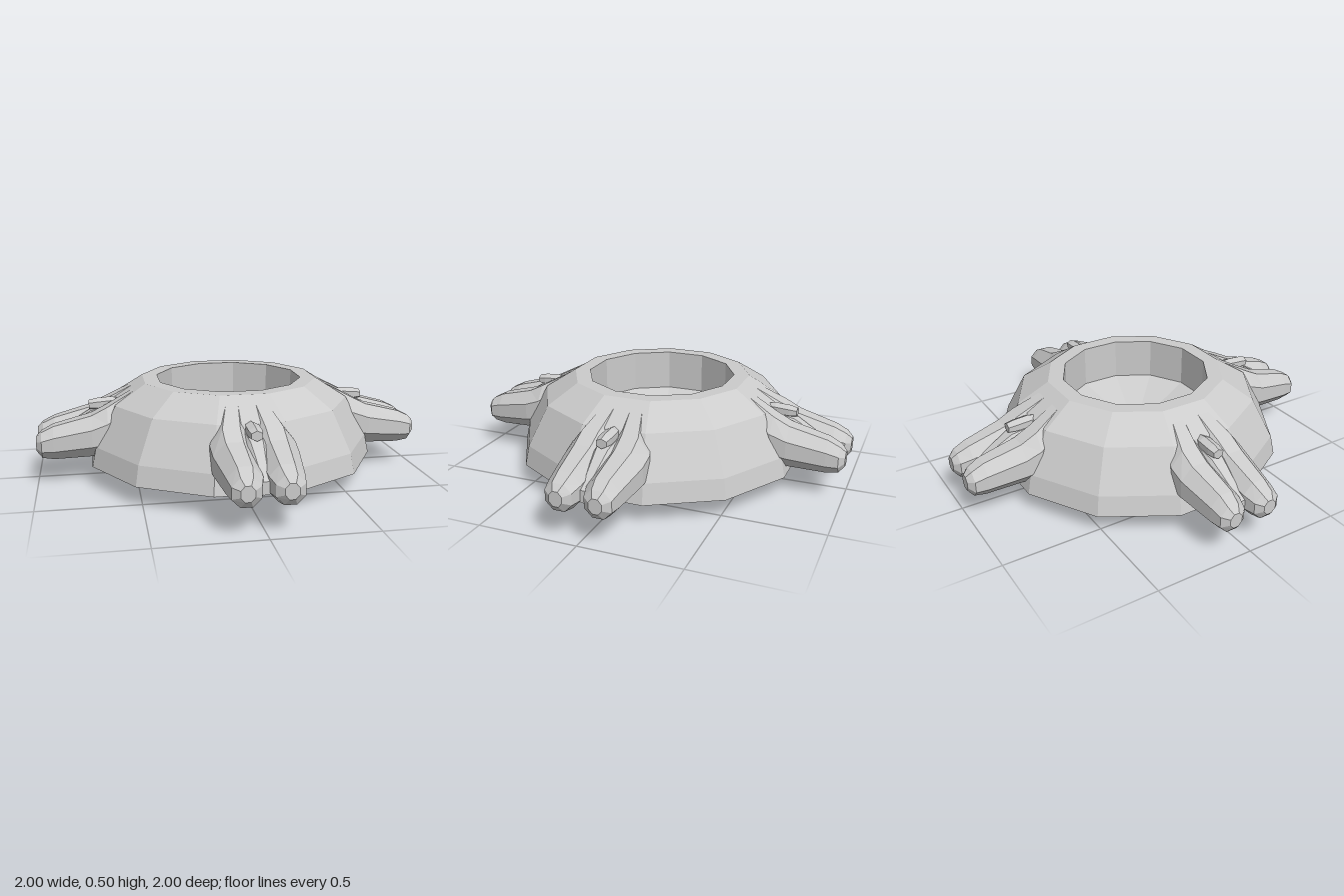
import * as THREE from 'three';

const material = new THREE.MeshStandardMaterial({ color: 0xcccccc, flatShading: true });

// Closed loft along +z through elliptical sections [cx, cy, rx, ry, z]
function loft(sections, sides) {
  const pos = [];
  const index = [];
  for (const [cx, cy, rx, ry, z] of sections) {
    for (let i = 0; i < sides; i++) {
      const a = ((i + 0.5) / sides) * Math.PI * 2;
      const k = 1 / Math.cos(Math.PI / sides); // flats touch rx, ry
      pos.push(cx + Math.cos(a) * rx * k, cy + Math.sin(a) * ry * k, z);
    }
  }
  for (let s = 0; s < sections.length - 1; s++) {
    for (let i = 0; i < sides; i++) {
      const a = s * sides + i;
      const b = s * sides + ((i + 1) % sides);
      index.push(a, b, b + sides, a, b + sides, a + sides);
    }
  }
  const last = (sections.length - 1) * sides;
  for (let i = 1; i < sides - 1; i++) {
    index.push(0, i + 1, i, last, last + i, last + i + 1);
  }
  const geometry = new THREE.BufferGeometry();
  geometry.setAttribute('position', new THREE.Float32BufferAttribute(pos, 3));
  geometry.setIndex(index);
  geometry.computeVertexNormals();
  return geometry;
}

function addMesh(parent, geometry, name) {
  const mesh = new THREE.Mesh(geometry, material);
  mesh.name = name;
  parent.add(mesh);
}

// One foot pointing along +z: two toes, the web between them and a small spur
function createFoot() {
  const foot = new THREE.Group();
  for (const side of [-1, 1]) {
    addMesh(foot, loft([
      [side * 0.06, 0.39, 0.06, 0.105, 0.44],
      [side * 0.1, 0.265, 0.1, 0.125, 0.64],
      [side * 0.1, 0.245, 0.098, 0.105, 0.72],
      [side * 0.092, 0.215, 0.08, 0.085, 0.91],
      [side * 0.095, 0.205, 0.066, 0.066, 0.97],
      [side * 0.095, 0.208, 0.032, 0.036, 0.998],
    ], 8), side < 0 ? 'rightToe' : 'leftToe');
  }
  addMesh(foot, loft([
    [0, 0.37, 0.07, 0.125, 0.44],
    [0, 0.27, 0.09, 0.1, 0.62],
    [0, 0.255, 0.07, 0.095, 0.72],
    [0, 0.2, 0.03, 0.03, 0.92],
  ], 8), 'toeWeb');
  addMesh(foot, loft([
    [0, 0.385, 0.02, 0.018, 0.57],
    [0, 0.383, 0.032, 0.027, 0.62],
    [0, 0.378, 0.032, 0.027, 0.69],
    [0, 0.376, 0.026, 0.021, 0.73],
  ], 6), 'spur');
  return foot;
}

export function createModel() {
  const model = new THREE.Group();

  // Twelve-sided bowl: underside, outer wall, rim, inner wall and dished floor
  const profile = [
    [0, 0], [0.1, 0], [0.39, 0.008], [0.75, 0.1], [0.728, 0.2], [0.62, 0.4],
    [0.46, 0.5], [0.38, 0.5], [0.38, 0.29], [0.1, 0.19], [0, 0.185],
  ].map(([r, y]) => new THREE.Vector2(r, y));
  addMesh(model, new THREE.LatheGeometry(profile, 12, Math.PI / 12), 'bowl');

  // Four identical feet
  ['frontFoot', 'leftFoot', 'backFoot', 'rightFoot'].forEach((name, i) => {
    const foot = createFoot();
    foot.name = name;
    foot.rotation.y = (i * Math.PI) / 2;
    model.add(foot);
  });
  return model;
}
